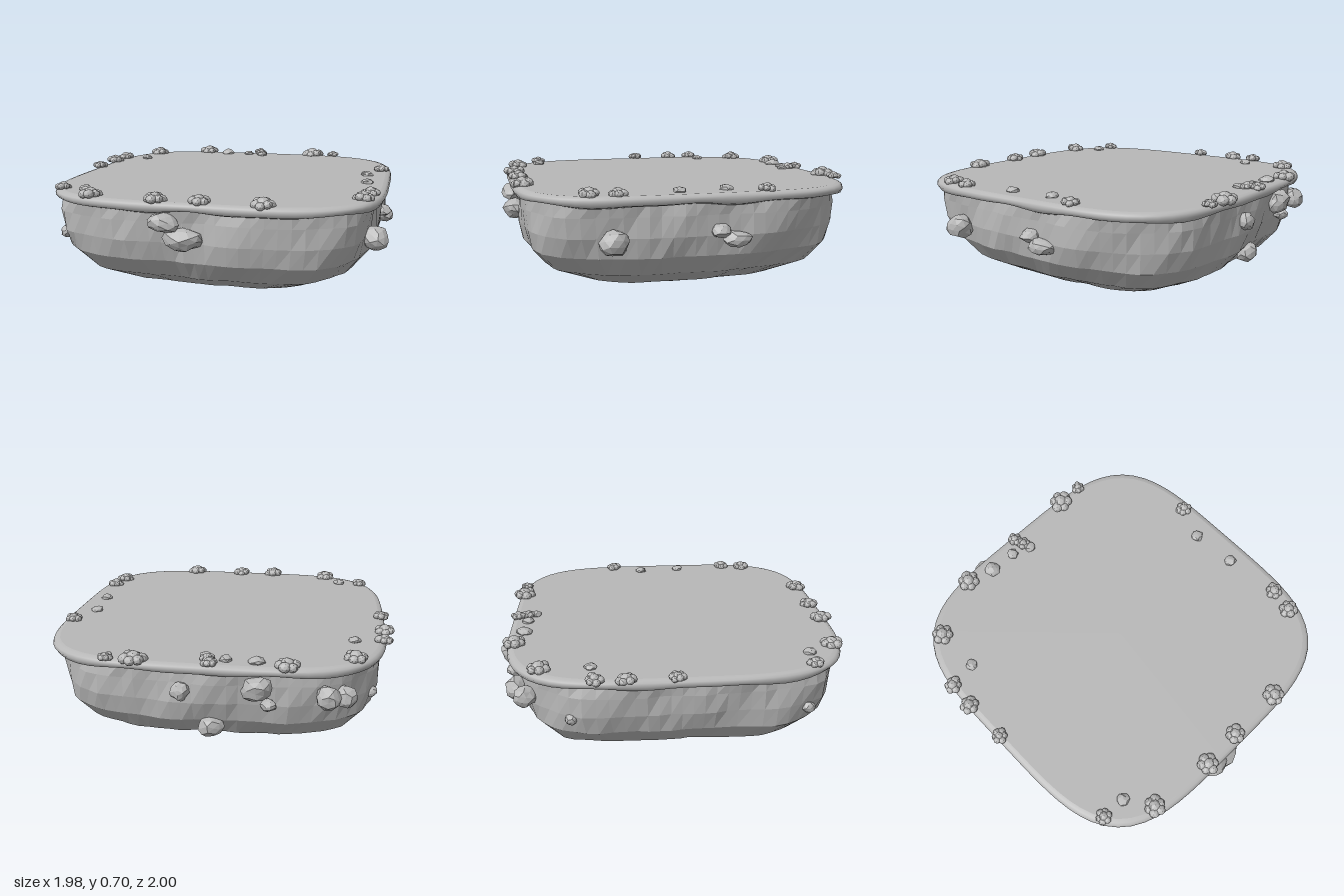
import * as THREE from 'three';
import { mergeVertices } from 'three/addons/utils/BufferGeometryUtils.js';

const SEG = 96;

// Small seeded random generator
function seeded(seed) {
  let s = seed;
  return () => {
    s = (s * 16807) % 2147483647;
    return s / 2147483647;
  };
}

// Rounded-square outline: distance from the centre at an angle
const outline = (a) => Math.pow(Math.cos(a) ** 4 + Math.sin(a) ** 4, -0.25);

// Skin a stack of rounded-square rings, ordered bottom to top along the outside.
// shape(ring, angle, index) returns [radius, y].
function loft(rings, shape) {
  const pos = [], idx = [];
  rings.forEach((ring, i) => {
    for (let j = 0; j < SEG; j++) {
      const a = (j / SEG) * Math.PI * 2;
      const [r, y] = shape(ring, a, i);
      pos.push(r * outline(a) * Math.cos(a), y, r * outline(a) * Math.sin(a));
    }
  });
  for (let i = 0; i < rings.length - 1; i++) {
    for (let j = 0; j < SEG; j++) {
      const k = (j + 1) % SEG;
      const a = i * SEG + j, b = i * SEG + k, c = a + SEG, d = b + SEG;
      idx.push(a, c, b, b, c, d);
    }
  }
  const g = new THREE.BufferGeometry();
  g.setAttribute('position', new THREE.Float32BufferAttribute(pos, 3));
  g.setIndex(idx);
  return g;
}

function flat(g) {
  const out = g.index ? g.toNonIndexed() : g;
  out.computeVertexNormals();
  return out;
}

// Faceted boulder with jittered corners
function boulder(rand, detail, jitter) {
  let g = new THREE.IcosahedronGeometry(1, detail);
  g.deleteAttribute('normal');
  g.deleteAttribute('uv');
  g = mergeVertices(g, 1e-3);
  const p = g.attributes.position;
  for (let i = 0; i < p.count; i++) {
    const k = 1 + (rand() - 0.5) * jitter;
    p.setXYZ(i, p.getX(i) * k, p.getY(i) * k, p.getZ(i) * k);
  }
  return flat(g);
}

export function createModel() {
  const model = new THREE.Group();
  const stone = new THREE.MeshStandardMaterial({ color: 0xb8b8b8 });
  stone.name = 'stone grey';
  const rand = seeded(4217);

  const add = (parent, geometry, name) => {
    const mesh = new THREE.Mesh(geometry, stone);
    mesh.name = name;
    parent.add(mesh);
    return mesh;
  };

  // Faceted rocky underside, tapering to a shallow point
  const rockRings = [[0, 0], [0.37, 0.04], [0.61, 0.11], [0.79, 0.2], [0.88, 0.31],
    [0.905, 0.42], [0.91, 0.53], [0.91, 0.61]];
  const rock = loft(rockRings, ([r, y], a, i) => {
    const wave = 0.012 * Math.sin(5 * a + i * 0.5) + 0.009 * Math.sin(11 * a + i * 1.1)
      + 0.006 * Math.sin(19 * a - i);
    return [r * (1 + wave + (rand() - 0.5) * 0.012), y];
  });
  add(model, flat(rock), 'rockyUnderside');

  // Smooth slab lip with a wavy lower edge
  const lipRings = [[0.88, 0.602, 1], [0.92, 0.588, 1], [0.945, 0.596, 0.8], [0.955, 0.615, 0.3],
    [0.95, 0.632, 0], [0.938, 0.641, 0], [0.92, 0.645, 0]];
  const lip = loft(lipRings, ([r, y, w], a) =>
    [r, y + w * (0.006 * Math.sin(9 * a) + 0.004 * Math.sin(16 * a + 1))]);
  lip.computeVertexNormals();
  add(model, lip, 'slabLip');

  // Flat top surface
  const top = loft([[0.92], [0]], ([r]) => [r, 0.645]);
  top.computeVertexNormals();
  add(model, top, 'topSurface');

  // Shrubs around the edge: x, z, radius
  const shrubs = [
    [-0.43, -0.9, 0.066], [0.36, -0.92, 0.072], [0.51, -0.92, 0.04], [-0.035, -0.92, 0.045],
    [-0.015, -0.86, 0.042], [-0.77, -0.74, 0.064], [-0.93, -0.45, 0.052], [-0.94, -0.29, 0.057],
    [-0.935, -0.03, 0.046], [0.89, -0.33, 0.05], [0.87, 0.46, 0.053], [0.84, 0.6, 0.057],
    [-0.82, 0.71, 0.046], [-0.58, 0.865, 0.062], [-0.2, 0.91, 0.063], [0.035, 0.9, 0.058],
    [0.37, 0.9, 0.064],
  ];
  const leafBall = boulder(rand, 1, 0.1);
  for (const [x, z, r] of shrubs) {
    const shrub = new THREE.Group();
    shrub.name = 'shrub';
    shrub.position.set(x, 0.655, z);
    const turn = rand() * 6.28;
    for (let i = 0; i < 7; i++) {
      const a = turn + (i / 6) * Math.PI * 2;
      const out = i === 6 ? 0 : r * (0.52 + rand() * 0.1);
      const size = r * (i === 6 ? 0.58 : 0.4 + rand() * 0.1);
      const ball = add(shrub, leafBall, 'shrubClump');
      ball.position.set(out * Math.cos(a), i === 6 ? 0.006 : (rand() - 0.5) * 0.012, out * Math.sin(a));
      ball.scale.set(size, size * 0.85, size);
      ball.rotation.y = a;
    }
    model.add(shrub);
  }

  // Pebbles lying on the top: x, z, radius
  const pebbles = [[-0.27, -0.86, 0.045], [-0.11, -0.855, 0.034], [0, -0.815, 0.032],
    [-0.77, -0.47, 0.034], [0.81, -0.135, 0.038], [0.83, 0.13, 0.036], [-0.68, 0.72, 0.036]];
  for (const [x, z, r] of pebbles) {
    const pebble = add(model, boulder(rand, 1, 0.3), 'pebble');
    pebble.position.set(x, 0.65, z);
    pebble.scale.set(r, r * 0.6, r);
    pebble.rotation.y = rand() * 6;
  }

  // Boulders embedded in the sides: x, y, z, half sizes
  const boulders = [
    [-0.15, 0.535, 0.93, 0.085, 0.055, 0.06], [-0.05, 0.45, 0.92, 0.1, 0.06, 0.07],
    [0.91, 0.41, 0.49, 0.07, 0.065, 0.08],
    [0.92, 0.445, -0.07, 0.05, 0.038, 0.055], [0.92, 0.4, -0.16, 0.06, 0.045, 0.085],
    [0.12, 0.49, -0.93, 0.05, 0.05, 0.05], [-0.28, 0.53, -0.94, 0.085, 0.065, 0.06],
    [-0.03, 0.27, -0.87, 0.07, 0.06, 0.06], [-0.34, 0.44, -0.93, 0.042, 0.032, 0.045],
    [-0.64, 0.48, -0.88, 0.065, 0.06, 0.06], [-0.73, 0.47, -0.83, 0.06, 0.055, 0.06],
    [-0.87, 0.4, -0.58, 0.035, 0.03, 0.035], [-0.82, 0.39, 0.69, 0.036, 0.034, 0.04],
  ];
  for (const [x, y, z, sx, sy, sz] of boulders) {
    const b = add(model, boulder(rand, 1, 0.25), 'sideBoulder');
    b.position.set(x, y, z);
    b.scale.set(sx, sy, sz);
    b.rotation.set((rand() - 0.5) * 0.4, (rand() - 0.5) * 0.4, (rand() - 0.5) * 0.4);
  }

  return model;
}
